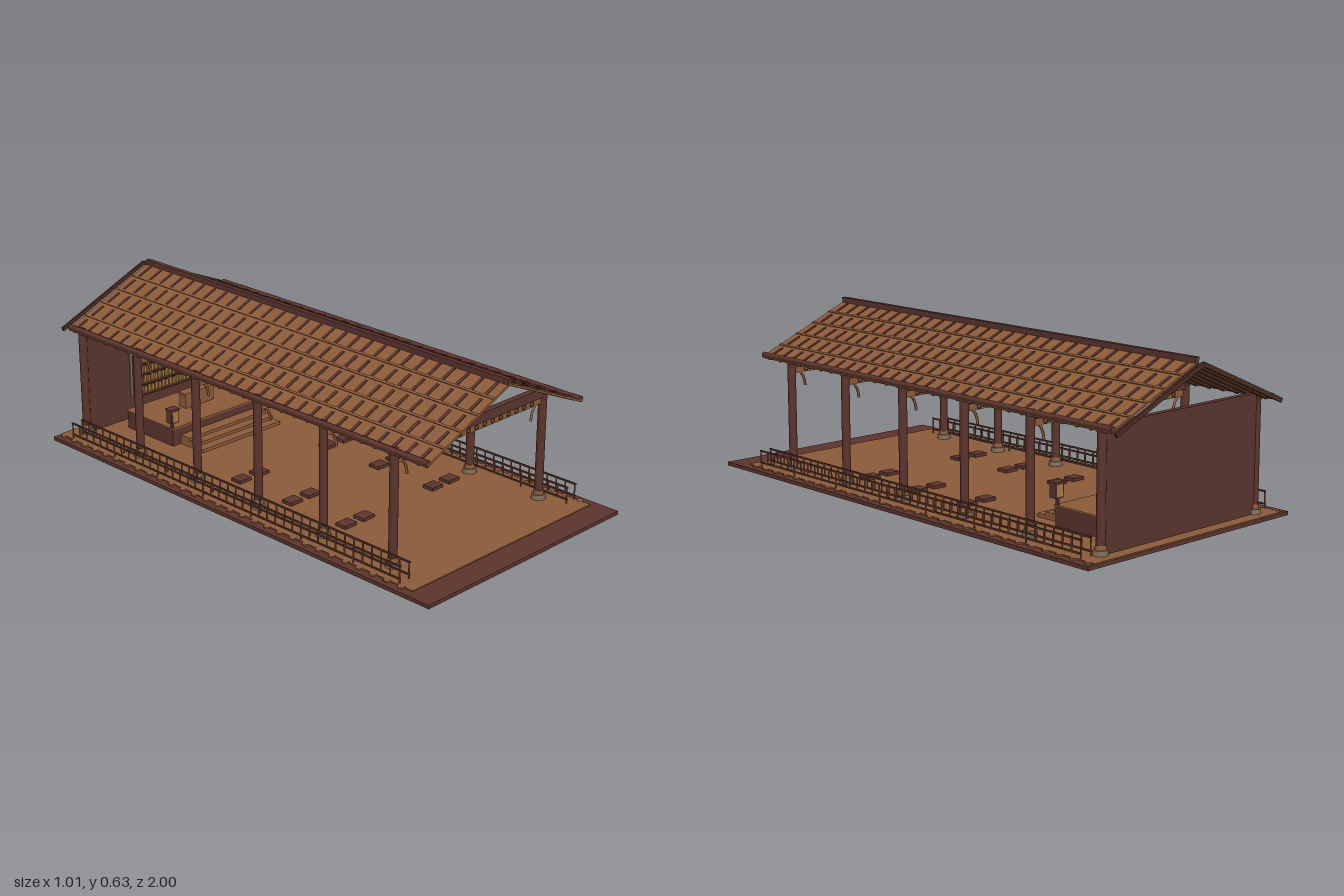
import * as THREE from 'three';
import { mergeGeometries } from 'three/addons/utils/BufferGeometryUtils.js';

const mat = (name, color) => Object.assign(new THREE.MeshStandardMaterial({ color }), { name });

export function createModel() {
  const model = new THREE.Group();
  model.name = 'openHall';
  const timber = mat('dark timber', 0x5c342d);
  const plank = mat('tan plank', 0x8c5b3a);
  const gold = mat('gold tablet', 0xab7c46);
  const stone = mat('grey stone', 0x7c6c56);
  const plaster = mat('olive plaster', 0x8a795d);
  const edge = mat('deep brown', 0x4a2b22);

  // Adds a mesh from one geometry or a list that is merged
  const add = (name, material, geo, parent = model) => {
    const mesh = new THREE.Mesh(Array.isArray(geo) ? mergeGeometries(geo) : geo, material);
    mesh.name = name;
    parent.add(mesh);
    return mesh;
  };
  // Box given by its limits on each axis
  const box = (x0, x1, y0, y1, z0, z1) =>
    new THREE.BoxGeometry(x1 - x0, y1 - y0, z1 - z0)
      .translate((x0 + x1) / 2, (y0 + y1) / 2, (z0 + z1) / 2);
  const cyl = (x, z, y0, y1, rTop, rBottom = rTop, sides = 16) =>
    new THREE.CylinderGeometry(rTop, rBottom, y1 - y0, sides).translate(x, (y0 + y1) / 2, z);
  const sides = [-1, 1];

  // Ground slab and floor
  add('baseSlab', timber, box(-0.505, 0.505, 0, 0.014, -0.97, 1));
  add('floor', plank, box(-0.472, 0.472, 0.014, 0.018, -0.968, 0.9));
  const studs = [];
  for (let z = -0.94; z < 0.9; z += 0.064)
    for (const s of sides) studs.push(cyl(s * 0.475, z, 0.013, 0.019, 0.013, 0.013, 8));
  add('floorEdgeStuds', plank, studs);

  // Columns on stone feet, with collars and capitals
  const rows = [0.73, 0.402, 0.074, -0.254, -0.582, -0.91];
  const shafts = [], feet = [], collars = [], capitals = [];
  for (const z of rows) for (const s of sides) {
    const x = s * 0.386;
    shafts.push(cyl(x, z, 0.036, 0.44, 0.016));
    feet.push(cyl(x, z, 0.016, 0.036, 0.025, 0.028));
    collars.push(cyl(x, z, 0.036, 0.052, 0.018, 0.02));
    capitals.push(cyl(x, z, 0.425, 0.442, 0.022, 0.017));
  }
  add('columnShafts', timber, shafts);
  add('columnFeet', stone, feet);
  add('columnCollars', plank, collars);
  add('columnCapitals', timber, capitals);

  // Tie beams, friezes with ring ornament and curved brackets
  const ties = [], friezes = [], rings = [], brackets = [];
  for (const z of rows) {
    ties.push(box(-0.385, 0.385, 0.415, 0.45, z - 0.012, z + 0.012));
    if (z < -0.9) continue;
    friezes.push(box(-0.37, 0.37, 0.39, 0.415, z - 0.005, z + 0.005));
    for (let i = 0; i < 16; i++) {
      const x = -0.32 + i * 0.64 / 15;
      for (const s of sides)
        rings.push(new THREE.TorusGeometry(0.009, 0.002, 4, 8).translate(x, 0.402, z + s * 0.005));
    }
    for (const s of sides) {
      const curve = new THREE.QuadraticBezierCurve3(
        new THREE.Vector3(s * 0.348, 0.392, z), new THREE.Vector3(s * 0.326, 0.375, z),
        new THREE.Vector3(s * 0.323, 0.336, z));
      brackets.push(new THREE.TubeGeometry(curve, 8, 0.005, 6));
    }
  }
  add('tieBeams', timber, ties);
  add('friezes', plank, friezes);
  add('friezeRings', edge, rings);
  add('curvedBrackets', plank, brackets);

  // Eave beams and ridge
  add('eaveBeams', timber, sides.map(s =>
    new THREE.CylinderGeometry(0.011, 0.011, 1.86, 10).rotateX(Math.PI / 2).translate(s * 0.398, 0.443, -0.04)));
  add('ridge', timber, box(-0.009, 0.009, 0.602, 0.628, -0.97, 0.89));

  // Roof slopes: deck, tile courses, ribs and rafters
  const angle = Math.atan2(0.172, 0.4), length = 0.405 / Math.cos(angle);
  for (const s of sides) {
    const slope = new THREE.Group();
    slope.name = s > 0 ? 'leftRoofSlope' : 'rightRoofSlope';
    slope.position.set(0, 0.608, -0.04);
    slope.rotation.z = -s * angle;
    model.add(slope);
    const span = (a, b, y0, y1, z0, z1) =>
      s > 0 ? box(a, b, y0, y1, z0, z1) : box(-b, -a, y0, y1, z0, z1);
    const lips = [], ribs = [], rafters = [];
    const course = length / 5;
    for (let c = 0; c < 5; c++)
      lips.push(span((c + 1) * course - 0.009, (c + 1) * course, 0.002, 0.006, -0.93, 0.93));
    for (let i = 0; i < 29; i++) {
      const z = -0.898 + i * 0.0638;
      rafters.push(span(0.005, length, -0.008, -0.004, z - 0.006, z + 0.006));
      for (let c = 0; c < 5; c++)
        ribs.push(span(c * course + 0.014, (c + 1) * course - 0.007, 0.002, 0.006, z - 0.006, z + 0.006));
    }
    add('roofDeck', plank, span(0, length, -0.004, 0.003, -0.93, 0.93), slope);
    add('tileLips', plank, lips, slope);
    add('roofRibs', timber, ribs, slope);
    add('rafters', timber, rafters, slope);
    // Barge board standing clear of the back gable
    add('bargeBoard', edge, span(0, length + 0.01, -0.008, 0.008, -0.96, -0.952), slope);
  }

  // Back wall with plaster panel and tablet shelves
  add('backWall', timber, box(-0.375, 0.375, 0.018, 0.42, -0.92, -0.9));
  add('plasterPanel', plaster, box(-0.17, 0.17, 0.108, 0.39, -0.9, -0.894));
  add('shelfBack', edge, box(-0.16, 0.16, 0.11, 0.28, -0.895, -0.89));
  const shelves = [box(-0.16, -0.155, 0.11, 0.28, -0.895, -0.867), box(0.155, 0.16, 0.11, 0.28, -0.895, -0.867)];
  const tablets = [], tabletFeet = [];
  for (let r = 0; r < 4; r++) {
    const y = 0.112 + r * 0.043;
    shelves.push(box(-0.16, 0.16, y - 0.002, y + 0.002, -0.895, -0.867));
    for (let i = 0; i < 17; i++) {
      const x = -0.146 + i * 0.01825;
      const h = 0.032 + ((i + r) % 2) * 0.004;
      tablets.push(box(x - 0.006, x + 0.006, y + 0.007, y + h, -0.882, -0.874));
      tabletFeet.push(box(x - 0.007, x + 0.007, y + 0.002, y + 0.007, -0.885, -0.871));
    }
  }
  add('shelves', timber, shelves);
  add('tablets', gold, tablets);
  add('tabletFeet', plank, tabletFeet);

  // Dais, steps and altar table
  add('dais', timber, box(-0.243, 0.243, 0.018, 0.086, -0.83, -0.56));
  add('daisTop', plank, box(-0.247, 0.247, 0.086, 0.093, -0.834, -0.556));
  add('steps', plank, [0, 1, 2].map(i =>
    box(-0.203, 0.203, 0.018, 0.031 + i * 0.012, -0.56, -0.43 - i * 0.04)));
  add('altarTable', plank, [
    box(-0.073, 0.073, 0.093, 0.148, -0.715, -0.677),
    box(-0.077, 0.077, 0.148, 0.155, -0.718, -0.674)]);

  // Lantern stands at the dais corners
  for (const s of sides) {
    const x = s * 0.24;
    add('lanternPost', timber, box(x - 0.005, x + 0.005, 0.09, 0.125, -0.571, -0.561));
    add('lanternFrame', timber, [
      box(x - 0.019, x + 0.019, 0.118, 0.17, -0.576, -0.546),
      box(x - 0.022, x + 0.022, 0.17, 0.175, -0.579, -0.543)]);
    add('lanternPane', gold, box(x - 0.014, x + 0.014, 0.123, 0.166, -0.577, -0.544));
  }

  // Pairs of floor cushions
  const cushions = [];
  for (const z of [0.402, 0.13, -0.14]) for (const s of sides) for (const x of [0.182, 0.272])
    cushions.push(box(s * x - 0.029, s * x + 0.029, 0.018, 0.03, z - 0.024, z + 0.024));
  add('cushions', timber, cushions);

  // Double railings along both sides
  const rails = [], balusters = [];
  for (const s of sides) for (const px of [0.418, 0.464]) {
    const x = s * px;
    for (const y of [0.034, 0.08])
      rails.push(box(x - 0.003, x + 0.003, y - 0.003, y + 0.003, -0.9, 0.838));
    for (let i = 0; i <= 41; i++) {
      const z = -0.897 + i * 0.0422;
      const low = i % 6 === 0 || i === 41 ? 0.016 : 0.03;
      balusters.push(box(x - 0.002, x + 0.002, low, 0.083, z - 0.002, z + 0.002));
    }
  }
  add('rails', timber, rails);
  add('balusters', plank, balusters);

  return model;
}
